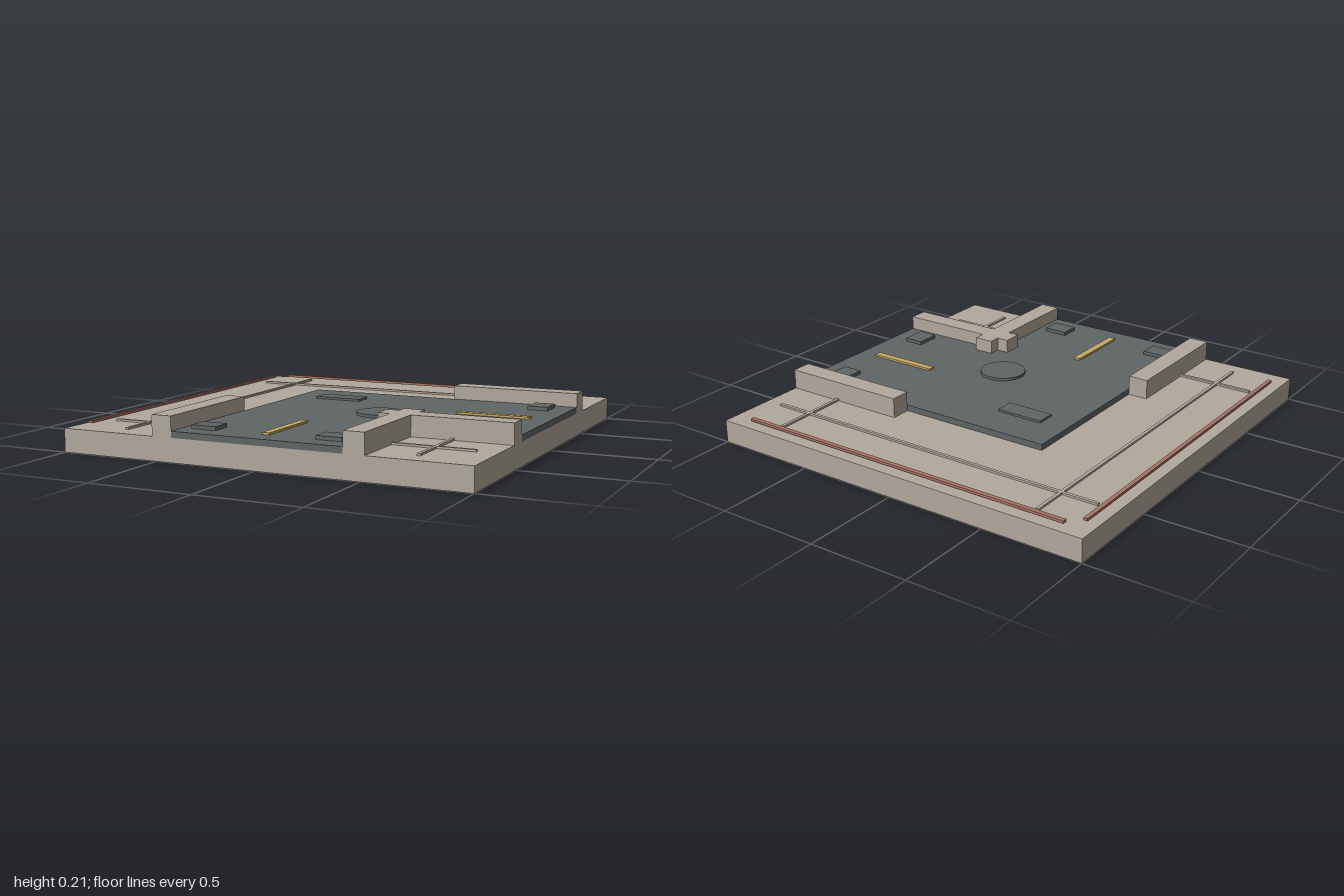
import * as THREE from 'three';

const mat = (name, color) => {
  const m = new THREE.MeshStandardMaterial({ color });
  m.name = name;
  return m;
};

export function createModel() {
  const group = new THREE.Group();
  const stone = mat('stone', 0xb2a99d);
  const asphalt = mat('asphalt', 0x5f6566);
  const brick = mat('brick', 0xa87565);
  const yellow = mat('yellow', 0xc6aa64);

  const add = (name, geometry, material) => {
    const mesh = new THREE.Mesh(geometry, material);
    mesh.name = name;
    group.add(mesh);
    return mesh;
  };
  // box given by its extents along each axis
  const box = (name, material, x0, x1, y0, y1, z0, z1) =>
    add(name, new THREE.BoxGeometry(x1 - x0, y1 - y0, z1 - z0), material)
      .position.set((x0 + x1) / 2, (y0 + y1) / 2, (z0 + z1) / 2);

  // square base slab
  box('base', stone, -1, 1, 0, 0.112, -1, 1);

  // L-shaped road turning from the front edge to the left edge
  const outline = [[-0.42, 0.42], [1, 0.42], [1, -0.42], [0.42, -0.42], [0.42, -1], [-0.42, -1]];
  const road = new THREE.Shape(outline.map(([x, y]) => new THREE.Vector2(x, y)));
  const roadGeometry = new THREE.ExtrudeGeometry(road, { depth: 0.03, bevelEnabled: false });
  roadGeometry.rotateX(-Math.PI / 2);
  add('road', roadGeometry, asphalt).position.y = 0.112;

  // raised kerbs beside the two road ends
  for (const side of [-0.47, 0.47]) {
    box('frontKerb', stone, side - 0.05, side + 0.05, 0.11, 0.21, 0.36, 1);
    box('sideKerb', stone, 0.36, 1, 0.11, 0.21, side - 0.05, side + 0.05);
  }

  // thin paving ribs crossing near the corners
  for (const p of [-0.72, 0.72]) {
    box('ribAcross', stone, -0.905, 0.905, 0.11, 0.122, p - 0.008, p + 0.008);
    box('ribAlong', stone, p - 0.008, p + 0.008, 0.11, 0.122, -0.905, 0.905);
  }

  // brick edging strips on the two closed sides
  box('backEdging', brick, -0.88, 0.88, 0.122, 0.134, -0.952, -0.93);
  box('sideEdging', brick, -0.95, -0.93, 0.122, 0.134, -0.88, 0.88);

  // yellow lane marks
  box('frontLaneMark', yellow, -0.018, 0.018, 0.142, 0.152, 0.54, 0.9);
  box('sideLaneMark', yellow, 0.54, 0.9, 0.142, 0.152, -0.018, 0.018);

  // low pads at the road ends
  for (const p of [-0.312, 0.308]) {
    box('frontPad', asphalt, p - 0.062, p + 0.062, 0.14, 0.16, 0.805, 0.905);
    box('sidePad', asphalt, 0.805, 0.905, 0.14, 0.16, p - 0.062, p + 0.062);
  }

  // drain plate and round cover
  box('drainPlate', asphalt, -0.285, -0.045, 0.14, 0.153, -0.232, -0.135);
  add('roundCover', new THREE.CylinderGeometry(0.114, 0.114, 0.016, 32), asphalt)
    .position.set(0.218, 0.148, 0.18);

  return group;
}
